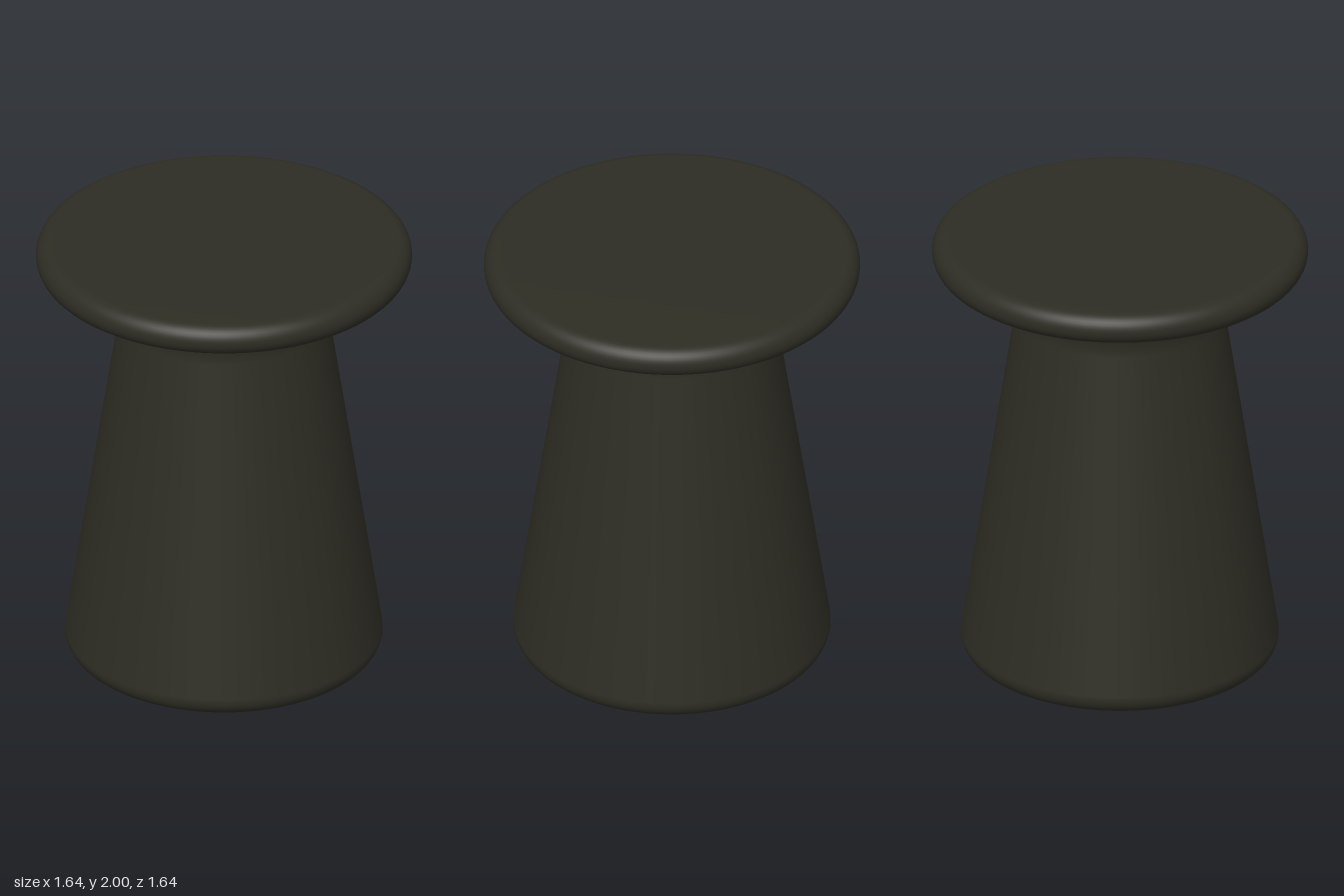
import * as THREE from 'three';

// Points along a circular arc in the profile plane
function arc(cx, cy, r, from, to, steps) {
  return Array.from({ length: steps + 1 }, (_, i) => {
    const a = from + (to - from) * i / steps;
    return new THREE.Vector2(cx + r * Math.cos(a), cy + r * Math.sin(a));
  });
}

export function createModel() {
  const group = new THREE.Group();
  group.name = 'stool';
  const charcoal = new THREE.MeshStandardMaterial({ color: 0x2e2d24 });
  charcoal.name = 'charcoal';

  const addLathe = (name, profile) => {
    const mesh = new THREE.Mesh(new THREE.LatheGeometry(profile, 96), charcoal);
    mesh.name = name;
    group.add(mesh);
  };

  const taper = 0.151; // lean of the pedestal wall, in radians

  // Tapered pedestal: rounded foot, straight wall, flare under the seat
  addLathe('pedestal', [
    new THREE.Vector2(0, 0),
    ...arc(0.612, 0.08, 0.08, -Math.PI / 2, taper, 14),
    ...arc(0.655, 1.66, 0.2, Math.PI + taper, Math.PI / 2, 18),
  ]);

  // Flat round seat with a fully rounded rim
  addLathe('seat', [
    new THREE.Vector2(0.655, 1.86),
    ...arc(0.75, 1.93, 0.07, -Math.PI / 2, Math.PI / 2, 18),
    new THREE.Vector2(0, 2),
  ]);

  return group;
}
